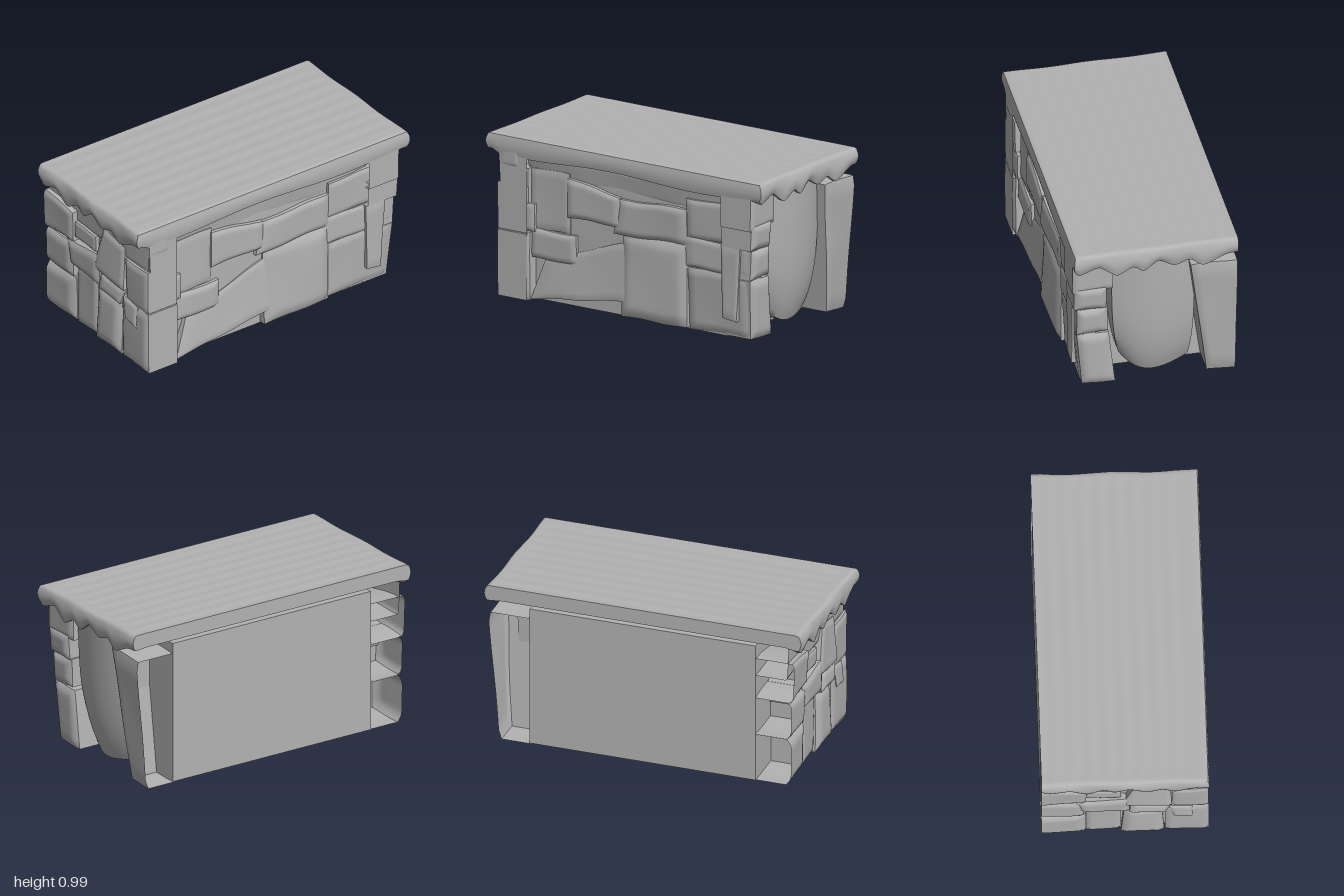
import * as THREE from 'three';
import { mergeVertices, toCreasedNormals } from 'three/addons/utils/BufferGeometryUtils.js';

const lerp = THREE.MathUtils.lerp;
const smooth = THREE.MathUtils.smoothstep;

// Move every vertex by a rule, then smooth all but the sharp edges.
// open: box faces to leave out (0 +x, 1 -x, 2 +y, 3 -y, 4 +z, 5 -z)
function shape(geometry, rule, crease, open = []) {
  const index = Array.from(geometry.index.array);
  const kept = geometry.groups.filter((g, i) => !open.includes(i));
  geometry.setIndex(kept.flatMap((g) => index.slice(g.start, g.start + g.count)));
  geometry.clearGroups();
  geometry.deleteAttribute('uv');
  geometry.deleteAttribute('normal');
  const g = mergeVertices(geometry);
  const p = g.attributes.position;
  const v = new THREE.Vector3();
  for (let i = 0; i < p.count; i++) {
    v.fromBufferAttribute(p, i);
    rule(v);
    p.setXYZ(i, v.x, v.y, v.z);
  }
  return toCreasedNormals(g, crease);
}

// Hewn block, a shell open at its hidden face and where it meets the cut end.
// quad: four corners (bottom left, bottom right, top right, top left);
// back: depth of the hidden face; low/high: depth of the outer face at bottom/top.
function stoneGeometry(quad, back, low, high, round, seed) {
  const [a, b, c, d] = quad;
  const open = [5];
  if (a[0] === -0.5) open.push(1);
  if (b[0] === 0.5) open.push(0);
  return shape(new THREE.BoxGeometry(1, 1, 1, 14, 14, 4), (v) => {
    const s = v.x + 0.5, t = v.y + 0.5, k = v.z + 0.5;
    const u = lerp(lerp(a[0], b[0], s), lerp(d[0], c[0], s), t);
    const h = lerp(lerp(a[1], b[1], s), lerp(d[1], c[1], s), t);
    const wide = Math.abs(b[0] - a[0]), tall = Math.abs(d[1] - a[1]);
    const left = open.includes(1) ? 1 : s, right = open.includes(0) ? 1 : 1 - s;
    const edge = Math.min(Math.min(left, right) * wide, Math.min(t, 1 - t) * tall);
    const fall = 1 - Math.min(edge / (round * 1.6), 1);
    const dent = 0.004 * Math.sin(9 * u + seed * 2.1) * Math.cos(8 * h + seed);
    const front = lerp(low, high, t) - 0.7 * round * fall * fall + dent;
    v.set(
      u + 0.006 * Math.sin(14 * h + seed) * Math.min(1, s * (1 - s) * 4),
      Math.max(0.005, h + 0.004 * Math.sin(17 * u + seed * 3)),
      lerp(back, front, k)
    );
  }, 0.8, open);
}

const box = (u0, u1, v0, v1) => [[u0, v0], [u1, v0], [u1, v1], [u0, v1]];

export function createModel() {
  const model = new THREE.Group();
  const grey = new THREE.MeshStandardMaterial({ color: 0xb2b2b2 });
  grey.name = 'stone grey';
  grey.side = THREE.DoubleSide;

  const add = (name, geometry, parent = model) => {
    const mesh = new THREE.Mesh(geometry, grey);
    mesh.name = name;
    parent.add(mesh);
    return mesh;
  };

  // Plain core
  const core = new THREE.BoxGeometry(0.91, 0.88, 1.42);
  core.translate(-0.045, 0.45, 0);
  add('core', core);

  // Top slab: rounded on three sides, cut flat at -x, with a ragged drooping lip
  const X0 = -0.5, X1 = 0.49, Z = 0.995;
  const drips = [[-0.5, 0.9], [-0.46, 0.87], [-0.34, 0.91], [-0.23, 0.84], [-0.13, 0.89],
    [-0.07, 0.85], [0.02, 0.91], [0.12, 0.86], [0.21, 0.89], [0.29, 0.84], [0.44, 0.9], [0.6, 0.91]];
  const dripAt = (x) => {
    let i = 0;
    while (i < drips.length - 2 && x > drips[i + 1][0]) i++;
    const [p, q] = [drips[i], drips[i + 1]];
    const f = (x - p[0]) / (q[0] - p[0]);
    return lerp(p[1], q[1], lerp(f, smooth(f, 0, 1), 0.5));
  };
  add('topSlab', shape(new THREE.BoxGeometry(1, 1, 1, 64, 6, 72), (v) => {
    const t = v.y + 0.5;
    // Crowd the rows near the ends so that the lip is well formed
    const zz = Math.sign(v.z) * (1 - Math.pow(1 - 2 * Math.abs(v.z), 1.5));
    let x = lerp(X0, X1, v.x + 0.5), z = zz * Z;
    const endGap = Z - Math.abs(z), sideGap = X1 - x;
    const endLip = 1 - smooth(endGap, 0.03, 0.11);
    const sideLip = 1 - smooth(sideGap, 0.03, 0.08);
    const sideLow = 0.885 + 0.012 * Math.sin(5 * z + 1);
    let low = lerp(0.91, sideLow, sideLip);
    low = lerp(low, dripAt(z > 0 ? x : -x), endLip);
    const inset = 0.03 * (1 - Math.sin(Math.PI * (0.2 + t * 0.65)));
    const ragged = 0.004 * Math.sin(13 * x + 2 * t) - 0.002;
    if (endGap < 0.05) z -= Math.sign(z) * (inset - ragged) * (1 - endGap / 0.05);
    if (sideGap < 0.04) x -= 0.5 * inset * (1 - sideGap / 0.04);
    const ridge = 0.0014 * (Math.cos(x * 62) - 1) * (1 - sideLip) * (1 - endLip);
    const drop = 0.006 * Math.max(1 - endGap / 0.03, 1 - sideGap / 0.03, 0) ** 2;
    v.set(x, lerp(low, 1 + ridge - drop, t), z);
  }, 0.8));

  // Each wall is laid out facing the viewer, then turned into place
  const wall = (name, angle, back, stones) => {
    const group = new THREE.Group();
    group.name = name;
    stones.forEach(([part, quad, low, high = low, round = 0.03, inner = back], i) =>
      add(part, stoneGeometry(quad, inner, low, high, round, i + angle), group));
    group.rotation.y = angle;
    model.add(group);
  };

  wall('frontWall', 0, 0.7, [
    ['upperCourse', box(-0.5, 0.485, 0.7, 0.92), 0.905, 0.915, 0.01],
    ['backing', box(-0.24, 0.44, 0.02, 0.7), 0.88, 0.89, 0.005],
    ['footStone', box(-0.5, -0.235, 0.015, 0.312), 0.93, 0.935, 0.04],
    ['footStone', box(-0.235, -0.03, 0.015, 0.42), 0.905, 0.915, 0.02],
    ['footStone', [[-0.03, 0.015], [0.225, 0.02], [0.21, 0.375], [-0.01, 0.385]], 0.94, 0.925, 0.04],
    ['footStone', box(0.23, 0.488, 0.015, 0.42), 0.92, 0.925, 0.02],
    ['middleStone', box(-0.5, -0.25, 0.315, 0.55), 0.935, 0.94, 0.03],
    ['middleStone', [[-0.26, 0.42], [0.02, 0.39], [0.02, 0.6], [-0.3, 0.57]], 0.945, 0.945, 0.025],
    ['middleStone', [[0.02, 0.385], [0.23, 0.37], [0.27, 0.48], [0.025, 0.5]], 0.95, 0.935, 0.025],
    ['chipStone', [[0.28, 0.3], [0.39, 0.28], [0.39, 0.42], [0.25, 0.45]], 0.94, 0.93, 0.015],
    ['highStone', box(0.27, 0.485, 0.42, 0.705), 0.92, 0.925, 0.015],
    ['highStone', [[-0.5, 0.555], [-0.24, 0.57], [-0.23, 0.78], [-0.5, 0.81]], 0.945, 0.955, 0.02],
    ['highStone', box(-0.24, -0.03, 0.6, 0.705), 0.92, 0.925, 0.01],
    ['highStone', [[-0.03, 0.5], [0.27, 0.49], [0.26, 0.775], [0.06, 0.81]], 0.945, 0.93, 0.015],
  ]);

  wall('sideWall', Math.PI / 2, 0.34, [
    ['beam', [[-0.72, 0.74], [0.72, 0.74], [0.72, 0.91], [-0.74, 0.91]], 0.425, 0.45, 0.02],
    ['backing', box(-0.72, 0.72, 0.3, 0.82), 0.425, 0.43, 0.005],
    ['frontCornerStone', box(-0.91, -0.69, 0.015, 0.43), 0.485, 0.48, 0.02],
    ['frontCornerStone', box(-0.91, -0.66, 0.43, 0.6), 0.475, 0.475, 0.015],
    ['frontCornerStone', box(-0.9, -0.7, 0.6, 0.82), 0.475, 0.485, 0.01],
    ['frontCornerStone', box(-0.9, -0.76, 0.81, 0.945), 0.488, 0.488, 0.015],
    ['leaningStone', [[-0.69, 0.02], [0.04, 0.12], [0.1, 0.51], [-0.6, 0.27]], 0.47, 0.44, 0.01],
    ['middleStone', box(-0.7, -0.37, 0.27, 0.45), 0.46, 0.46, 0.02],
    ['highStone', box(-0.7, -0.42, 0.45, 0.82), 0.445, 0.45, 0.01],
    ['highStone', [[-0.43, 0.56], [-0.05, 0.56], [-0.05, 0.74], [-0.43, 0.8]], 0.47, 0.47, 0.02],
    ['middleStone', [[-0.1, 0.51], [0.43, 0.53], [0.43, 0.75], [-0.05, 0.73]], 0.46, 0.465, 0.02],
    ['footStone', box(-0.04, 0.43, 0.02, 0.53), 0.475, 0.46, 0.035],
    ['footStone', [[0.43, 0.02], [0.87, 0.02], [0.89, 0.4], [0.43, 0.4]], 0.43, 0.455, 0.02],
    ['middleStone', box(0.42, 0.9, 0.4, 0.58), 0.455, 0.455, 0.015],
    ['highStone', box(0.43, 0.8, 0.58, 0.82), 0.45, 0.46, 0.015],
    ['chipStone', [[0.7, 0.14], [0.8, 0.12], [0.83, 0.58], [0.69, 0.58]], 0.475, 0.475, 0.01],
  ]);

  // Back: stacked corner, one big rounded tongue and a leaning pier
  wall('backWall', Math.PI, 0.7, [
    ['backCornerStone', [[-0.42, 0.015], [-0.22, 0.015], [-0.26, 0.38], [-0.455, 0.38]], 0.895, 0.91, 0.03],
    ['backCornerStone', box(-0.455, -0.27, 0.39, 0.57), 0.915, 0.92, 0.03],
    ['backCornerStone', box(-0.475, -0.28, 0.57, 0.73), 0.93, 0.94, 0.03],
    ['backCornerStone', box(-0.485, -0.24, 0.7, 0.945), 0.925, 0.93, 0.02],
    ['pier', [[0.33, 0.01], [0.5, 0.01], [0.5, 0.83], [0.22, 0.83]], 0.9, 0.97, 0.02],
  ]);

  add('backTongue', shape(new THREE.BoxGeometry(1, 1, 1, 16, 24, 6), (v) => {
    const t = v.y + 0.5, k = v.z + 0.5, s = v.x * 2;
    const narrow = 1 - (s > 0 ? 0.1 : 0.24) * Math.pow(1 - t, 4);
    const low = 0.04 + 0.075 * s * s - 0.035 * s * s * s;
    const out = 0.91 - 0.05 * s * s - 0.07 * Math.pow(1 - t, 5) + 0.02 * t;
    v.set(-0.01 - s * 0.25 * narrow, lerp(low, 0.92, t), -lerp(0.69, out, k));
  }, 0.9));

  return model;
}
